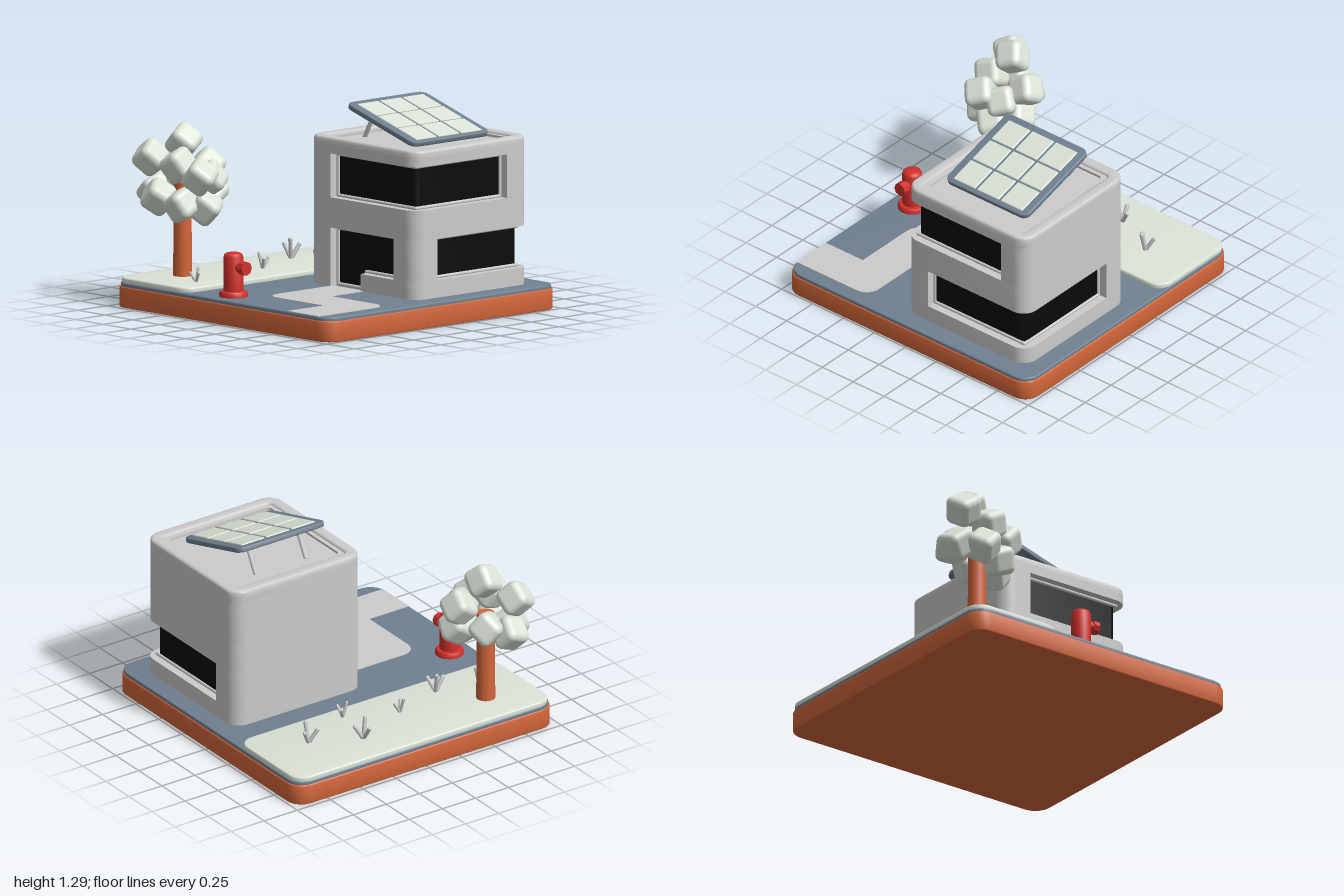
import * as THREE from 'three';
import { toCreasedNormals } from 'three/addons/utils/BufferGeometryUtils.js';
import { RoundedBoxGeometry } from 'three/addons/geometries/RoundedBoxGeometry.js';

const mat = (color) => new THREE.MeshStandardMaterial({ color });
const grey = mat(0xcccccc), orange = mat(0xd2663a), slate = mat(0x708090);
const pale = mat(0xdbe3d8), black = mat(0x0b0b0b), red = mat(0xd0302a);
const V = (x, y, z) => new THREE.Vector3(x, y, z);

function add(parent, name, geometry, material, x = 0, y = 0, z = 0) {
  const mesh = new THREE.Mesh(geometry, material);
  mesh.name = name;
  mesh.position.set(x, y, z);
  parent.add(mesh);
  return mesh;
}

// Closed outline from corners [x, z, radius]
function outline(corners, target = new THREE.Shape()) {
  const n = corners.length, k = 0.5523;
  corners.forEach(([x, z, r = 0], i) => {
    const p = new THREE.Vector2(x, z);
    const toward = (j) => new THREE.Vector2(corners[j][0], corners[j][1]).sub(p).normalize();
    const a = toward((i + n - 1) % n), b = toward((i + 1) % n);
    const at = (d, s) => p.clone().addScaledVector(d, s);
    const start = at(a, r), end = at(b, r);
    if (i) target.lineTo(start.x, start.y);
    else target.moveTo(start.x, start.y);
    if (r) {
      const c1 = at(a, r * (1 - k)), c2 = at(b, r * (1 - k));
      target.bezierCurveTo(c1.x, c1.y, c2.x, c2.y, end.x, end.y);
    }
  });
  target.closePath();
  return target;
}
const rect = (x0, x1, z0, z1, r) => [[x0, z0, r], [x1, z0, r], [x1, z1, r], [x0, z1, r]];

// Horizontal slab between two heights, optionally with rounded edges and a hole
function slab(parent, name, corners, y0, y1, material, bevel = 0, hole = null) {
  const shape = outline(corners);
  if (hole) shape.holes.push(outline(hole, new THREE.Path()));
  const g = new THREE.ExtrudeGeometry(shape, {
    depth: y1 - y0 - 2 * bevel, curveSegments: 8, bevelEnabled: bevel > 0,
    bevelSize: bevel, bevelThickness: bevel, bevelOffset: -bevel, bevelSegments: 3,
  });
  g.rotateX(Math.PI / 2);
  return add(parent, name, toCreasedNormals(g, 0.6), material, 0, y1 - bevel, 0);
}

// Round-ended rod between two points
function rod(parent, name, a, b, radius, material) {
  const d = b.clone().sub(a);
  const mesh = add(parent, name, new THREE.CapsuleGeometry(radius, d.length(), 4, 8), material);
  mesh.position.copy(a).addScaledVector(d, 0.5);
  mesh.quaternion.setFromUnitVectors(V(0, 1, 0), d.normalize());
}

function makeGround() {
  const g = new THREE.Group();
  g.name = 'ground';
  slab(g, 'base', rect(-0.975, 0.992, -0.985, 0.982, 0.11), 0, 0.132, orange, 0.008);
  slab(g, 'pavement', rect(-0.968, 0.985, -0.978, 0.975, 0.11), 0.125, 0.155, slate, 0.006);
  slab(g, 'lawn', rect(-0.965, -0.315, -0.972, 0.965, 0.1), 0.145, 0.185, pale, 0.008);
  slab(g, 'footpath', [[0.09, 0.1], [0.38, 0.1], [0.38, 0.39], [0.89, 0.39, 0.1], [0.89, 0.97],
    [0.61, 0.97], [0.61, 0.67], [0.09, 0.67, 0.1]], 0.15, 0.159, grey);
  return g;
}

function makeHouse() {
  const g = new THREE.Group();
  g.name = 'house';
  const BL = [-0.12, -0.86, 0.1], BR = [0.86, -0.86, 0.1], FR = [0.86, 0.12, 0.1], FL = [-0.12, 0.12, 0.1];
  const full = [BL, BR, FR, FL];
  // Walls as storeys, each with its window openings cut from the plan
  slab(g, 'doorWall', [BL, BR, FR, [0.36, 0.12], [0.36, 0.045], [0.09, 0.045], [0.09, 0.12], FL], 0.155, 0.265, grey);
  slab(g, 'lowerWall', [BL, [0.08, -0.86], [0.08, -0.785], [0.785, -0.785], [0.785, -0.07], [0.86, -0.07], FR,
    [0.66, 0.12], [0.66, 0.045], [0.09, 0.045], [0.09, 0.12], FL], 0.265, 0.525, grey);
  slab(g, 'middleWall', full, 0.525, 0.715, grey);
  slab(g, 'upperWall', [BL, BR, [0.86, -0.66], [0.785, -0.66], [0.785, 0.045], [0.09, 0.045], [0.09, 0.12], FL],
    0.715, 0.99, grey);
  slab(g, 'topWall', full, 0.99, 1.05, grey);
  slab(g, 'roofRim', full, 1.0, 1.09, grey, 0.018, rect(-0.04, 0.78, -0.78, 0.04, 0.03));
  slab(g, 'roofStep', rect(-0.05, 0.79, -0.79, 0.05, 0.03), 1.03, 1.075, grey, 0,
    rect(-0.012, 0.752, -0.752, 0.012, 0.03));
  slab(g, 'roofPanel', rect(-0.05, 0.79, -0.79, 0.05, 0.03), 1.03, 1.06, grey);
  slab(g, 'glass', rect(-0.06, 0.80, -0.80, 0.06, 0.04), 0.16, 1.02, black);

  // Slim frames following each opening
  const frames = {
    upperWindowFrame: [V(0.097, 0.722, 0.06), V(0.8, 0.722, 0.06), V(0.8, 0.722, -0.653),
      V(0.8, 0.983, -0.653), V(0.8, 0.983, 0.06), V(0.097, 0.983, 0.06)],
    lowerWindowFrame: [V(0.8, 0.272, -0.077), V(0.8, 0.272, -0.8), V(0.087, 0.272, -0.8),
      V(0.087, 0.518, -0.8), V(0.8, 0.518, -0.8), V(0.8, 0.518, -0.077)],
    doorFrame: [V(0.097, 0.165, 0.06), V(0.353, 0.165, 0.06), V(0.353, 0.272, 0.06),
      V(0.653, 0.272, 0.06), V(0.653, 0.518, 0.06), V(0.097, 0.518, 0.06)],
  };
  for (const [name, pts] of Object.entries(frames)) {
    pts.forEach((p, i) => rod(g, name, p, pts[(i + 1) % pts.length], 0.012, grey));
  }
  return g;
}

function makeSolarPanel() {
  const g = new THREE.Group();
  g.name = 'solarPanel';
  const board = new THREE.Group();
  board.name = 'panelBoard';
  board.position.set(0.36, 1.183, -0.37);
  board.rotation.z = -0.287;
  slab(board, 'panelFrame', rect(-0.32, 0.32, -0.33, 0.33, 0.05), -0.016, 0.016, slate, 0.005);
  for (let i = -1; i <= 1; i++) {
    for (let j = -1; j <= 1; j++) {
      add(board, 'solarCell', new RoundedBoxGeometry(0.18, 0.022, 0.176, 2, 0.007), pale,
        i * 0.191 + 0.01, 0.013, j * 0.191);
    }
  }
  g.add(board);
  for (const z of [-0.56, -0.18]) rod(g, 'panelLeg', V(0.08, 1.06, z), V(0.17, 1.225, z), 0.014, grey);
  return g;
}

function makeTree() {
  const g = new THREE.Group();
  g.name = 'tree';
  add(g, 'trunk', new THREE.CylinderGeometry(0.054, 0.06, 0.6, 20), orange, -0.71, 0.475, 0.63);
  // Foliage blocks: centre positions
  const blocks = [[-0.74, 1.02, 0.59], [-0.89, 0.92, 0.73], [-0.67, 0.89, 0.70], [-0.52, 0.83, 0.66],
    [-0.69, 0.86, 0.44], [-0.57, 0.80, 0.53], [-0.90, 0.70, 0.68], [-0.77, 0.69, 0.78],
    [-0.62, 0.65, 0.72], [-0.55, 0.63, 0.59], [-0.64, 0.70, 0.46], [-0.84, 0.74, 0.55]];
  blocks.forEach(([x, y, z], i) => {
    const leaf = add(g, 'foliage', new RoundedBoxGeometry(0.178, 0.178, 0.178, 3, 0.045), pale, x, y, z);
    leaf.rotation.set(0.45 + 0.12 * Math.sin(i * 2), 0.3 + 0.3 * Math.sin(i * 3), 0.55 + 0.15 * Math.cos(i * 2));
  });
  return g;
}

function makeHydrant() {
  const g = new THREE.Group();
  g.name = 'hydrant';
  g.position.set(-0.045, 0.155, 0.82);
  const profile = [[0, 0], [0.09, 0], [0.09, 0.02], [0.082, 0.033], [0.062, 0.036], [0.062, 0.25],
    [0.055, 0.266], [0.042, 0.274], [0, 0.276]];
  const body = new THREE.LatheGeometry(profile.map(([r, y]) => new THREE.Vector2(r, y)), 20);
  add(g, 'hydrantBody', toCreasedNormals(body, 0.7), red);
  const part = (name, r, len, sides, x) => {
    const geo = new THREE.CylinderGeometry(r, r, len, sides);
    geo.rotateZ(Math.PI / 2);
    add(g, name, toCreasedNormals(geo, 0.5), red, x, 0.187, 0);
  };
  part('nozzle', 0.034, 0.08, 16, 0.05);
  part('nozzleCap', 0.044, 0.042, 8, 0.1);
  return g;
}

function makeTufts() {
  const g = new THREE.Group();
  g.name = 'grassTufts';
  const spots = [[-0.58, -0.62, 1], [-0.73, -0.31, 1], [-0.42, -0.25, 0.75], [-0.57, 0.08, 0.75],
    [-0.47, 0.42, 1], [-0.48, 0.73, 0.65]];
  spots.forEach(([x, z, s], i) => {
    for (let k = 0; k < 3; k++) {
      const a = i * 0.9 + (k * Math.PI * 2) / 3, out = (k ? 0.055 : 0.035) * s;
      rod(g, 'grassBlade', V(x, 0.18, z),
        V(x + out * Math.cos(a), 0.185 + (k ? 0.085 : 0.125) * s, z + out * Math.sin(a)), 0.013 * s, grey);
    }
  });
  return g;
}

export function createModel() {
  const model = new THREE.Group();
  model.name = 'solarHouse';
  model.add(makeGround(), makeHouse(), makeSolarPanel(), makeTree(), makeHydrant(), makeTufts());
  return model;
}
